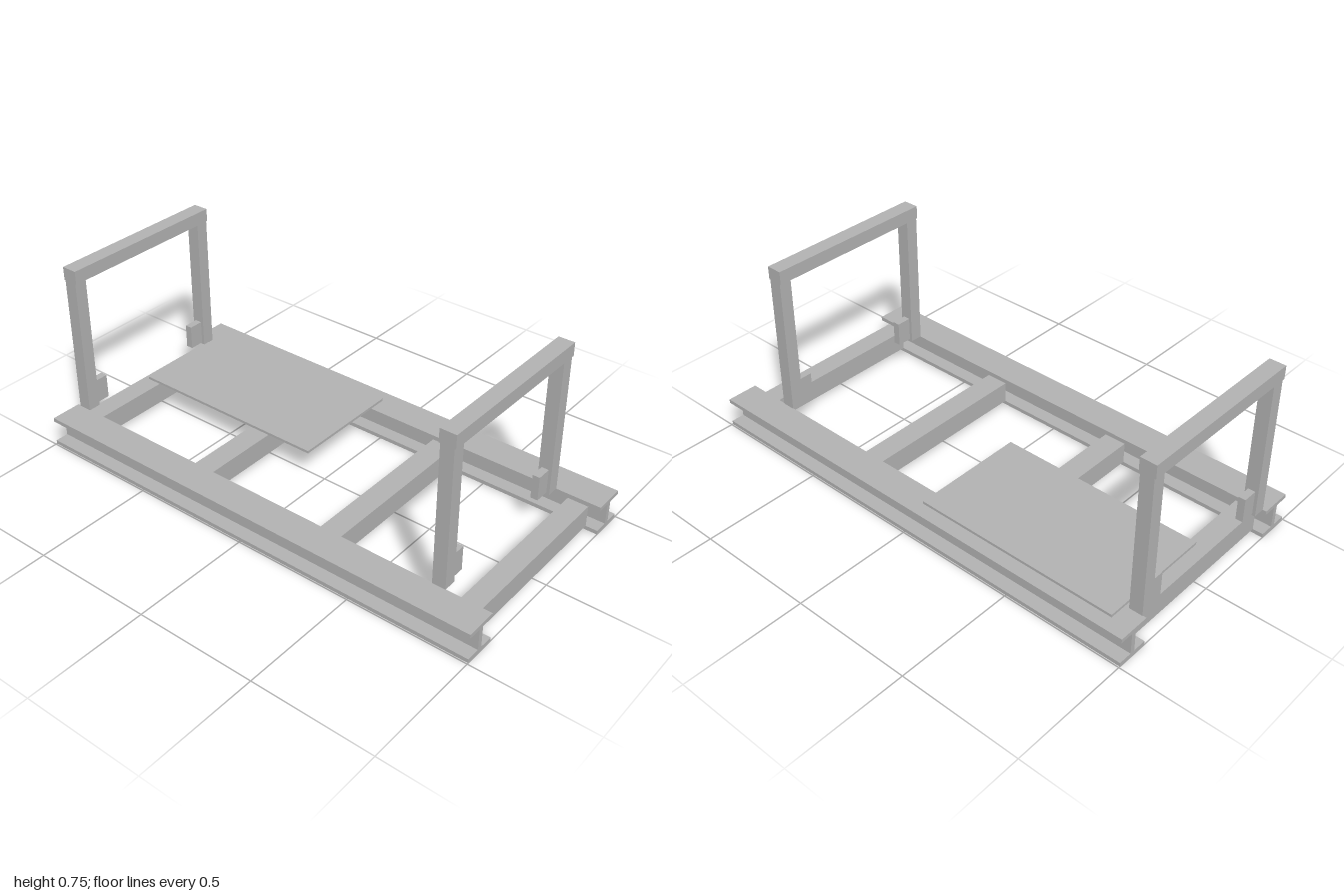
import * as THREE from 'three';

export function createModel() {
  const model = new THREE.Group();
  const steel = new THREE.MeshStandardMaterial({ color: 0xb2b2b2 });
  steel.name = 'grey steel';

  // Box given by its minimum and maximum on each axis
  const bar = (parent, name, [x0, x1], [y0, y1], [z0, z1]) => {
    const mesh = new THREE.Mesh(new THREE.BoxGeometry(x1 - x0, y1 - y0, z1 - z0), steel);
    mesh.position.set((x0 + x1) / 2, (y0 + y1) / 2, (z0 + z1) / 2);
    mesh.name = name;
    parent.add(mesh);
  };
  // Z range mirrored to the front (1) or back (-1)
  const span = (side, a, b) => (side > 0 ? [a, b] : [-b, -a]);

  // Long I-section side rails
  const half = 0.0665, top = 0.124, flange = 0.0165, web = 0.01;
  const section = new THREE.Shape([
    [-half, 0], [half, 0], [half, flange], [web, flange],
    [web, top - flange], [half, top - flange], [half, top], [-half, top],
    [-half, top - flange], [-web, top - flange], [-web, flange], [-half, flange],
  ].map(([x, y]) => new THREE.Vector2(x, y)));
  const railGeometry = new THREE.ExtrudeGeometry(section, { depth: 2, bevelEnabled: false });
  railGeometry.translate(0, 0, -1).rotateY(Math.PI / 2);
  for (const side of [1, -1]) {
    const rail = new THREE.Mesh(railGeometry, steel);
    rail.name = side > 0 ? 'frontRail' : 'backRail';
    rail.position.z = side * 0.428;
    model.add(rail);
  }

  // Cross members between the rails
  [[-0.958, -0.872], [-0.36, -0.267], [0.26, 0.353], [0.866, 0.952]].forEach((x, i) => {
    bar(model, `crossMember${i + 1}`, x, [0.018, 0.107], [-0.36, 0.36]);
  });

  // Upright hoops with a small bracket plate inside each post
  for (const [name, x] of [['rightHoop', -0.957], ['leftHoop', 0.786]]) {
    const hoop = new THREE.Group();
    hoop.name = name;
    hoop.position.x = x;
    bar(hoop, 'topBeam', [-0.033, 0.033], [0.7, 0.755], [-0.364, 0.364]);
    for (const side of [1, -1]) {
      bar(hoop, 'post', [-0.0275, 0.0275], [top, 0.7], span(side, 0.311, 0.364));
      bar(hoop, 'bracket', [-0.015, 0.015], [0.13, 0.232], span(side, 0.248, 0.311));
    }
    model.add(hoop);
  }

  // Flat deck plate resting on the back rail
  bar(model, 'deckPlate', [-0.914, -0.047], [0.125, 0.136], [-0.438, 0.044]);

  return model;
}
